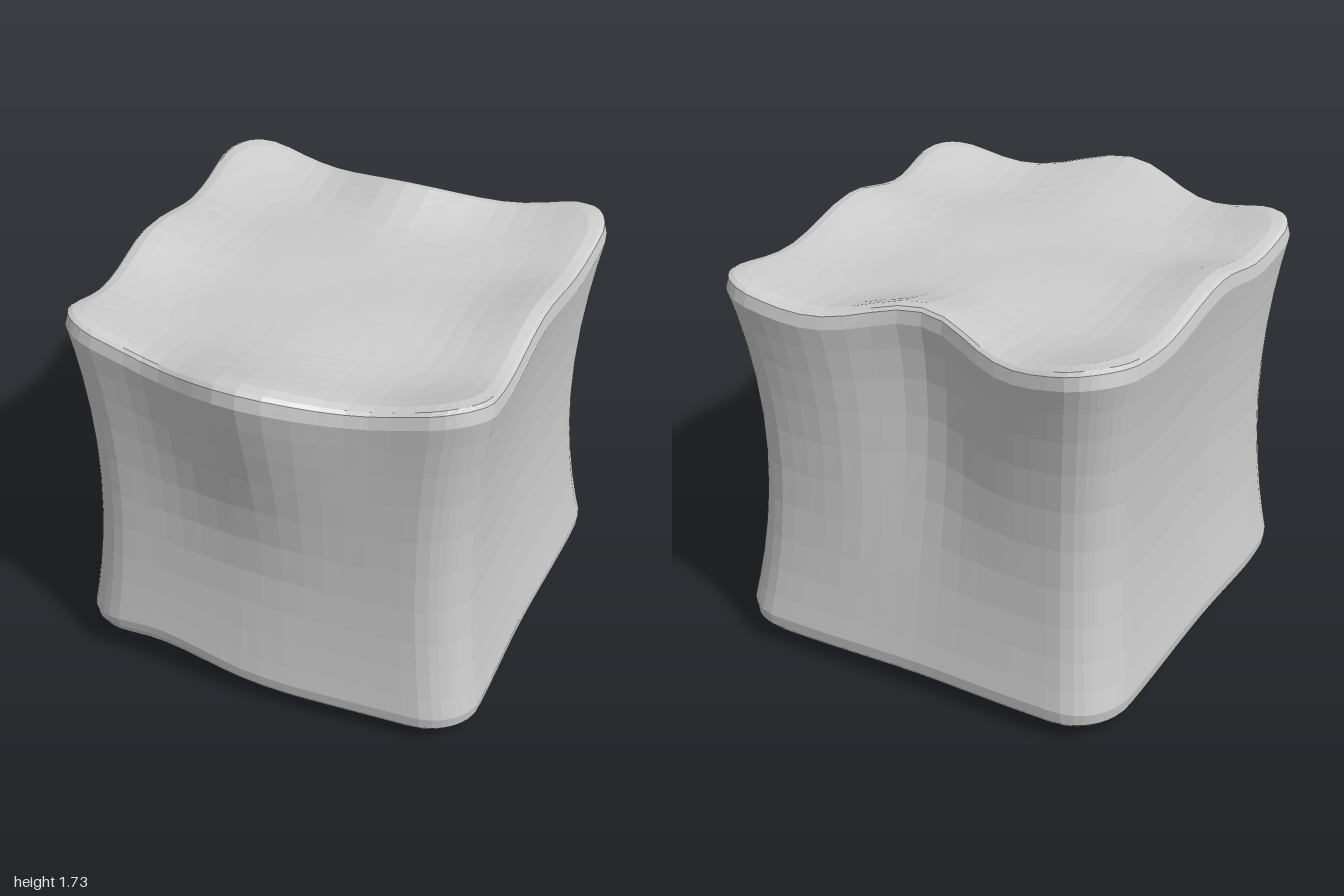
import * as THREE from 'three';

const bell = (u, w) => Math.exp(-((u / w) ** 2));
const smooth = (v, a, b) => THREE.MathUtils.smoothstep(v, a, b);

// Round the corners of the square [-1, 1] x [-1, 1] with radius r.
function roundCorner(a, b, r) {
  const k = 1 - r;
  const da = Math.abs(a) - k, db = Math.abs(b) - k;
  if (da <= 0 || db <= 0) return [a, b];
  const f = Math.max(da, db) / Math.hypot(da, db);
  return [Math.sign(a) * (k + da * f), Math.sign(b) * (k + db * f)];
}

// Crowd the grid lines towards the edges so that the rounding is fine.
const crowd = (t) => 0.6 * Math.sin((t * Math.PI) / 2) + 0.4 * t;

// One peak in the middle of each edge and one near each corner.
const wave = (u) => 0.5 + 0.5 * Math.cos((2 * Math.PI * u) / 0.95);

// Move a point of the cube [-1, 1]^3 onto the cushion.
function shapePoint(p) {
  const x = crowd(p.x), y = crowd(p.y), z = crowd(p.z);
  const m = Math.max(Math.abs(x), Math.abs(z));

  // Wide rounding in plan, tight rounding at the top and bottom rims
  let u = 0, v = 0;
  if (m > 1e-6) [u, v] = roundCorner(x / m, z / m, 0.25);
  const [ring, level] = roundCorner(m, y, y > 0 ? 0.08 : 0.06);
  u *= ring;
  v *= ring;

  // Wavy, slightly dished top; domed underside with one lifted stretch in front
  const up = (level + 1) / 2;
  const rim = Math.min(1, (m / 0.9) ** 2);
  const ripple = 0.068 * (wave(u) + wave(v) - 1) * rim - 0.015 * (1 - rim);
  const lift = 0.09 * bell(u + 0.6, 0.4) * smooth(v, 0.5, 1);
  const low = (0.085 + lift) * m ** 4;
  const height = 1.663 * up + ripple * up * up + low * (1 - up) ** 2;

  // Waisted sides, a ridge on the front and a groove in the back
  const t = (height - 0.86) / 0.8;
  const ridge = 0.015 + 0.16 * smooth(height, 0.5, 1.75) ** 1.4;
  const groove = 0.015 + 0.165 * smooth(height, 0.3, 1.75);
  const halfWidth = 0.842 + 0.082 * t * t - 0.015 * bell(v, 0.45);
  const front = 0.78 + 0.055 * t * t - 0.02 * u * u + ridge * bell(u, 0.4);
  const back = 0.905 + 0.105 * t * t - groove * bell(u, 0.36);
  p.set(u * halfWidth, height, v * (v > 0 ? front : back));
}

export function createModel() {
  const group = new THREE.Group();
  group.name = 'cushionBlock';

  const geometry = new THREE.BoxGeometry(2, 2, 2, 24, 12, 24);
  const position = geometry.attributes.position;
  const p = new THREE.Vector3();
  for (let i = 0; i < position.count; i++) {
    p.fromBufferAttribute(position, i);
    shapePoint(p);
    position.setXYZ(i, p.x, p.y, p.z);
  }
  geometry.computeVertexNormals();

  const material = new THREE.MeshStandardMaterial({ color: 0xcccccc, flatShading: true });
  const body = new THREE.Mesh(geometry, material);
  body.name = 'body';
  group.add(body);
  return group;
}
